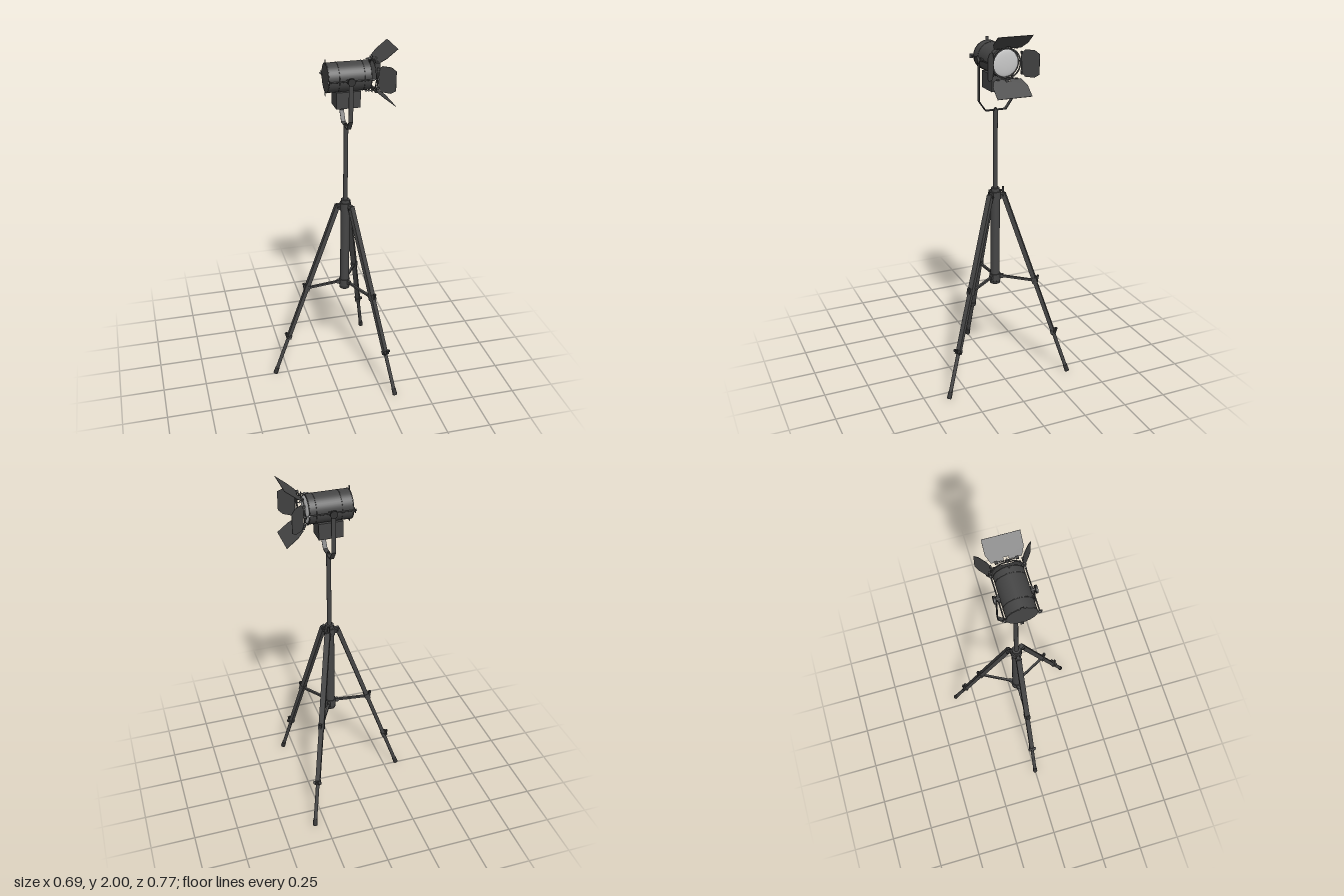
import * as THREE from 'three';

const dark = new THREE.MeshStandardMaterial({ color: 0x454545, side: THREE.DoubleSide });
dark.name = 'charcoal metal';
const black = new THREE.MeshStandardMaterial({ color: 0x333333 });
black.name = 'black plastic';
const steel = new THREE.MeshStandardMaterial({ color: 0x8a8a8a });
steel.name = 'steel bolts';
const glass = new THREE.MeshStandardMaterial({ color: 0xc8c8c8 });
glass.name = 'pale lens';

const AXIS = 0.1;      // x of the stand
const LAMP_Y = 1.845;  // height of the lamp axis

function add(parent, name, geometry, material, x = 0, y = 0, z = 0) {
  const mesh = new THREE.Mesh(geometry, material);
  mesh.name = name;
  mesh.position.set(x, y, z);
  parent.add(mesh);
  return mesh;
}
function group(parent, name, x = 0, y = 0, z = 0) {
  const g = new THREE.Group();
  g.name = name;
  g.position.set(x, y, z);
  parent.add(g);
  return g;
}
const box = (w, h, d) => new THREE.BoxGeometry(w, h, d);
const cyl = (r, h, n = 20, r2 = r) => new THREE.CylinderGeometry(r, r2, h, n);
const cylX = (r, h, n = 20) => cyl(r, h, n).rotateZ(-Math.PI / 2);
const cylZ = (r, h, n = 20) => cyl(r, h, n).rotateX(Math.PI / 2);
const shapeOf = (pts) => new THREE.Shape(pts.map(([x, y]) => new THREE.Vector2(x, y)));

// Bar of rectangular section between two points in a local xy plane
function strut(parent, name, x1, y1, x2, y2, thick, depth) {
  const m = add(parent, name, box(Math.hypot(x2 - x1, y2 - y1), thick, depth), dark,
    (x1 + x2) / 2, (y1 + y2) / 2);
  m.rotation.z = Math.atan2(y2 - y1, x2 - x1);
}

// One telescopic leg, running outward along local +x
function addLeg(parent, angle) {
  const side = group(parent, 'legAssembly', AXIS);
  side.rotation.y = angle;
  const topR = 0.045, topY = 1.1, footR = 0.428, footY = 0.005;
  const length = Math.hypot(footR - topR, topY - footY);
  const leg = group(side, 'leg', topR, topY);
  leg.rotation.z = Math.atan2(footR - topR, topY - footY);
  add(leg, 'upperLeg', box(0.024, 0.55, 0.03), dark, 0, -0.275);
  add(leg, 'middleLeg', box(0.021, 0.36, 0.026), dark, 0, -0.72);
  add(leg, 'lowerLeg', cyl(0.0105, 0.28, 14), dark, 0, -1.02);
  add(leg, 'foot', cyl(0.0125, 0.04, 16, 0.0135), black, 0, 0.02 - length);
  // Sliding clamps with their levers
  add(leg, 'middleClamp', box(0.03, 0.035, 0.034), dark, 0, -0.545);
  const lever = add(leg, 'middleLever', box(0.012, 0.035, 0.014), black, 0.02, -0.54);
  lever.rotation.z = -0.5;
  add(leg, 'lowerClamp', box(0.028, 0.025, 0.03), dark, 0, -0.89);
  add(leg, 'lowerClampBolt', cylZ(0.008, 0.046, 12), black, 0.012, -0.887);
  const tab = add(leg, 'lowerLever', box(0.01, 0.026, 0.014), black, 0.02, -0.885);
  tab.rotation.z = -0.6;
  // Hinge at the crown and brace to the column
  add(side, 'legHinge', box(0.04, 0.035, 0.018), dark, 0.032, 1.09);
  add(side, 'hingePin', cylZ(0.006, 0.038, 10), black, 0.045, 1.09);
  strut(side, 'brace', 0.02, 0.602, 0.232, 0.581, 0.012, 0.013);
  add(side, 'braceLug', box(0.026, 0.022, 0.018), dark, 0.034, 0.6);
  add(side, 'bracePin', cylZ(0.006, 0.034, 10), black, 0.222, 0.583);
}

// Barn door: flat shape with u outward from the hinge and v across
function addDoor(parent, name, outline, turn, slope) {
  const arm = group(parent, name, 0.246);
  arm.rotation.x = turn;
  const geo = new THREE.ExtrudeGeometry(shapeOf(outline), { depth: 0.002, bevelEnabled: false });
  geo.translate(0, 0, -0.001).rotateX(Math.PI / 2);
  const leaf = add(arm, name + 'Leaf', geo, dark, 0.005, 0.08);
  leaf.rotation.z = slope;
  // Hinge rod, knuckles and fixing bolt
  add(arm, 'hingeRod', cylZ(0.003, 0.11, 10), dark, 0, 0.08);
  for (const s of [-1, 1]) {
    add(arm, 'hingeKnuckle', box(0.014, 0.008, 0.014), dark, 0.001, 0.08, s * 0.052);
    add(arm, 'hingeNut', cylZ(0.005, 0.006, 8), steel, 0, 0.08, s * 0.04);
  }
  add(arm, 'frameEar', box(0.003, 0.024, 0.016), dark, -0.006, 0.085);
  add(arm, 'frameBolt', cylX(0.003, 0.05, 10), steel, -0.02, 0.088);
  add(arm, 'frameNut', cylX(0.006, 0.007, 6), steel, -0.024, 0.088);
  add(arm, 'frameNut', cylX(0.005, 0.006, 6), steel, 0.001, 0.088);
}

function addLamp(root) {
  const lamp = group(root, 'lamp', 0, LAMP_Y);
  // Housing with raised bands and a shallow domed lens
  add(lamp, 'housing', cylX(0.078, 0.233, 48), dark, 0.1015);
  for (const x of [-0.012, 0.045, 0.18, 0.216])
    add(lamp, 'housingBand', new THREE.TorusGeometry(0.078, 0.0016, 8, 48).rotateY(Math.PI / 2), dark, x);
  const dome = new THREE.SphereGeometry(0.071, 40, 10, 0, Math.PI * 2, 0, Math.PI / 2);
  add(lamp, 'lens', dome.scale(1, 0.14, 1).rotateZ(-Math.PI / 2), glass, 0.2185);
  // Ring that carries the doors
  const ring = new THREE.Shape().absarc(0, 0, 0.08, 0, Math.PI * 2);
  ring.holes.push(new THREE.Path().absarc(0, 0, 0.073, 0, Math.PI * 2, true));
  const ringGeo = new THREE.ExtrudeGeometry(ring, { depth: 0.004, bevelEnabled: false, curveSegments: 32 });
  add(lamp, 'doorRing', ringGeo.rotateY(Math.PI / 2), dark, 0.238);

  const wide = [[0, -0.076], [0.045, -0.096], [0.121, -0.096], [0.121, 0.096], [0.045, 0.096],
    [0, 0.076], [0, 0.013], [0.014, 0.013], [0.014, -0.013], [0, -0.013]];
  const narrow = [[0, -0.05], [0.018, -0.07], [0.07, -0.07], [0.098, -0.052],
    [0.098, 0.052], [0.07, 0.07], [0.018, 0.07], [0, 0.05]];
  addDoor(lamp, 'topDoor', wide, 0, 0.67);
  addDoor(lamp, 'bottomDoor', wide, Math.PI, 0.67);
  addDoor(lamp, 'leftDoor', narrow, Math.PI / 2, 0.69);
  addDoor(lamp, 'rightDoor', narrow, -Math.PI / 2, 0.69);

  // Side rods, back ears and tilt knobs
  for (const s of [-1, 1]) {
    add(lamp, 'sideRod', cylX(0.0035, 0.25, 12), dark, 0.105, 0, s * 0.087);
    add(lamp, 'sideEar', box(0.003, 0.022, 0.026), dark, -0.015, 0, s * 0.086);
    add(lamp, 'backEar', box(0.003, 0.024, 0.016), dark, -0.015, s * 0.085, 0);
    add(lamp, 'rodEndNut', cylX(0.006, 0.008, 6), steel, -0.02, 0, s * 0.087);
    add(lamp, 'rodBlock', box(0.04, 0.016, 0.012), dark, AXIS, 0, s * 0.084);
    add(lamp, 'knobStem', cylZ(0.009, 0.03, 16), black, AXIS, 0, s * 0.092);
    add(lamp, 'tiltKnob', cylZ(0.021, 0.011, 10), black, AXIS, 0, s * 0.1045);
  }
  // Transformer box under the housing
  add(lamp, 'transformerBox', box(0.132, 0.09, 0.1), dark, 0.099, -0.115);
}

export function createModel() {
  const root = new THREE.Group();
  root.name = 'tripodSpotlight';

  // Column, pole and collars
  add(root, 'column', cyl(0.026, 0.53, 24), dark, AXIS, 0.835);
  add(root, 'pole', cyl(0.0125, 0.48, 20), dark, AXIS, 1.335);
  add(root, 'crown', cyl(0.031, 0.045, 24), dark, AXIS, 1.09);
  add(root, 'crownCollar', cyl(0.024, 0.03, 24), dark, AXIS, 1.118);
  add(root, 'braceCollar', cyl(0.031, 0.04, 24), dark, AXIS, 0.597);
  add(root, 'columnCap', cyl(0.029, 0.016, 24), black, AXIS, 0.567);
  const knob = group(root, 'poleLock', AXIS, 1.118);
  knob.rotation.y = -0.4;
  add(knob, 'lockStem', cylZ(0.005, 0.03, 10), black, 0, 0, -0.028);
  add(knob, 'lockKnob', box(0.012, 0.036, 0.01), black, 0, 0.002, -0.042);

  for (const angle of [Math.PI, Math.PI / 3, -Math.PI / 3]) addLeg(root, angle);

  // U-shaped yoke bent from flat strip
  const outer = [[-0.097, 1.858], [-0.097, 1.625], [-0.058, 1.57], [0.058, 1.57], [0.097, 1.625], [0.097, 1.858]];
  const inner = [[0.093, 1.858], [0.093, 1.626], [0.056, 1.574], [-0.056, 1.574], [-0.093, 1.626], [-0.093, 1.858]];
  const strip = new THREE.ExtrudeGeometry(shapeOf([...outer, ...inner]), { depth: 0.024, bevelEnabled: false });
  add(root, 'yoke', strip.translate(0, 0, -0.012).rotateY(Math.PI / 2), dark, AXIS);
  add(root, 'yokeBolt', cyl(0.008, 0.01, 6), black, AXIS, 1.578);

  addLamp(root);
  return root;
}
